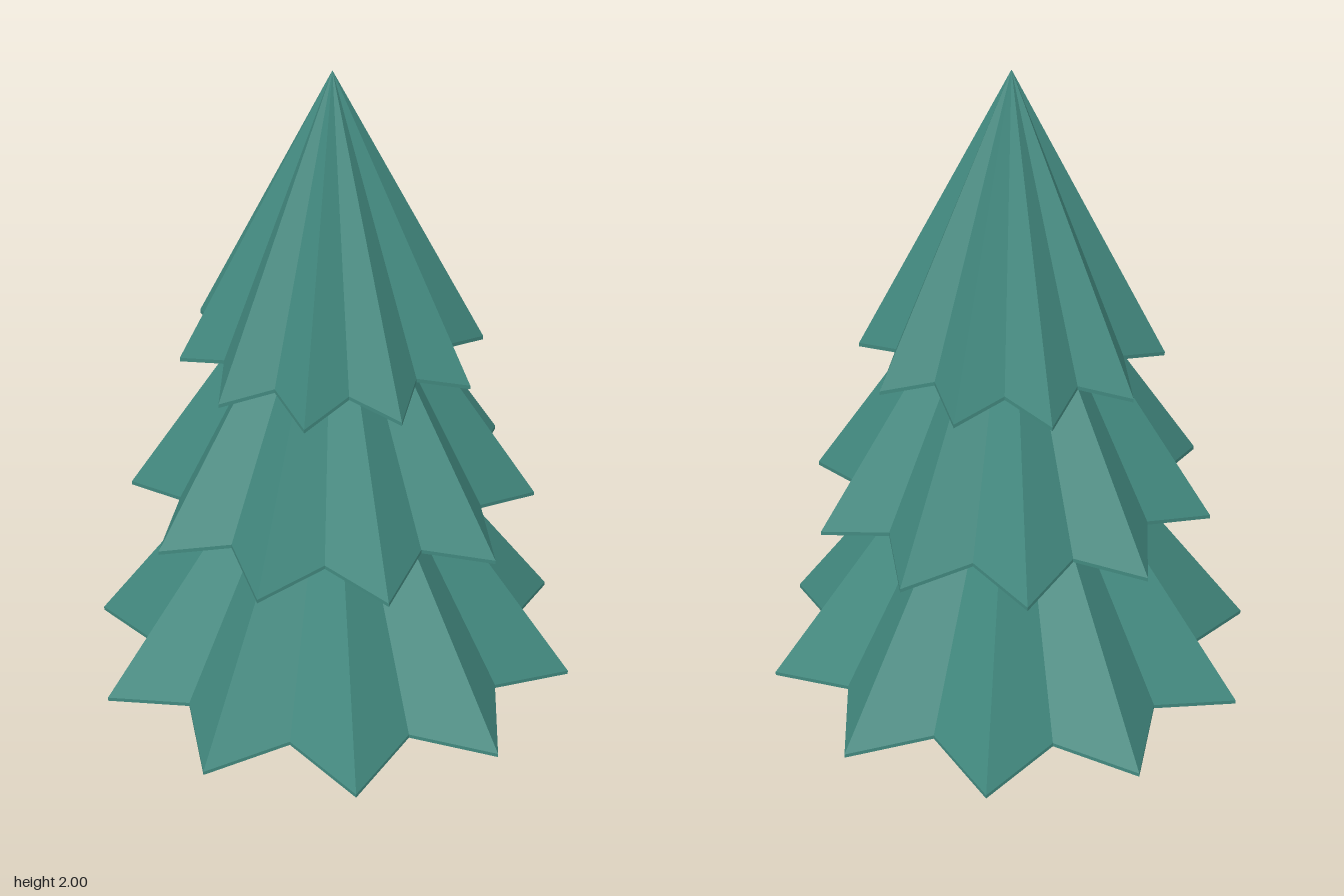
import * as THREE from 'three';

const POINTS = 10;      // star points per tier
const THICKNESS = 0.012; // thickness of the shell

// A pleated star-shaped cone, hollow underneath, with a thin rim.
function pleatedCone({ radius, bottom, apex, turn }) {
  const count = POINTS * 2;
  const rimPoint = (i, drop) => {
    const valley = i % 2 === 1;
    const r = radius * (valley ? 0.771 : 1);
    const a = turn + (i / count) * Math.PI * 2;
    const y = bottom + THICKNESS + (valley ? 0.048 : 0) - drop;
    return [r * Math.cos(a), y, r * Math.sin(a)];
  };
  const top = [0, apex, 0];
  const innerTop = [0, apex - THICKNESS * 2, 0];
  const positions = [];
  for (let i = 0; i < count; i++) {
    const p0 = rimPoint(i, 0), p1 = rimPoint(i + 1, 0);
    const q0 = rimPoint(i, THICKNESS), q1 = rimPoint(i + 1, THICKNESS);
    positions.push(...p0, ...top, ...p1);                   // outer pleat
    positions.push(...p0, ...p1, ...q1, ...p0, ...q1, ...q0); // rim
    positions.push(...q0, ...q1, ...innerTop);              // inner pleat
  }
  const geometry = new THREE.BufferGeometry();
  geometry.setAttribute('position', new THREE.Float32BufferAttribute(positions, 3));
  geometry.computeVertexNormals();
  return geometry;
}

export function createModel() {
  const group = new THREE.Group();
  group.name = 'pineTree';
  const needles = new THREE.MeshStandardMaterial({ color: 0x42897f, flatShading: true });

  // Three tiers of branches, each turned a little from the one below
  const deg = THREE.MathUtils.degToRad;
  const tiers = [
    { name: 'lowerBranches', radius: 0.75, bottom: 0, apex: 1.08, turn: 0 },
    { name: 'middleBranches', radius: 0.613, bottom: 0.582, apex: 1.56, turn: deg(-10) },
    { name: 'upperBranches', radius: 0.452, bottom: 1.083, apex: 2, turn: deg(-20.5) },
  ];
  for (const tier of tiers) {
    const mesh = new THREE.Mesh(pleatedCone(tier), needles);
    mesh.name = tier.name;
    group.add(mesh);
  }
  return group;
}
